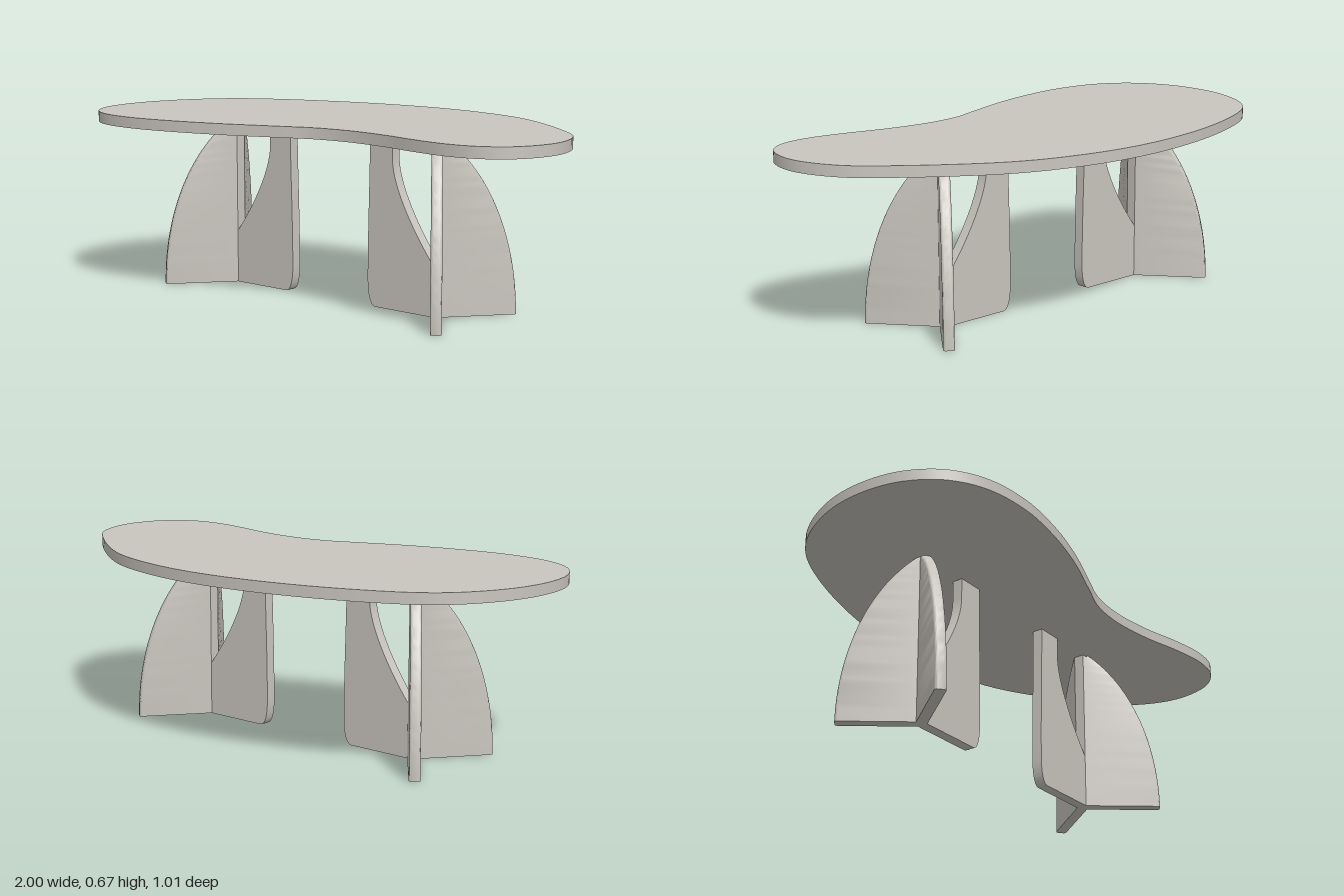
import * as THREE from 'three';
import { toCreasedNormals } from 'three/addons/utils/BufferGeometryUtils.js';

const T = 0.04;            // leg panel thickness
const H = 0.63;            // leg height
const ANGLE = 0.908;       // splay of the arched fins from the leg axis
const SIN = Math.sin(ANGLE), COS = Math.cos(ANGLE);
const CORNER = (T / 2) * (1 - COS) / SIN; // where fin and brace faces meet

const smooth = (g, angle = 0.6) => toCreasedNormals(g.index ? g.toNonIndexed() : g, angle);

// Kidney-shaped slab
function topGeometry() {
  const outline = [
    [0, -0.51], [0.25, -0.485], [0.5, -0.405], [0.8, -0.2], [0.94, -0.06], [1, 0.12],
    [0.96, 0.28], [0.87, 0.355], [0.75, 0.375], [0.6, 0.355], [0.45, 0.32], [0.27, 0.3],
    [0.12, 0.315], [0, 0.358], [-0.2, 0.43], [-0.4, 0.48], [-0.6, 0.502], [-0.78, 0.475],
    [-0.9, 0.4], [-0.975, 0.28], [-1, 0.14], [-0.98, -0.02], [-0.9, -0.19], [-0.8, -0.295],
    [-0.6, -0.395], [-0.3, -0.48],
  ].map(([x, z]) => new THREE.Vector3(x, z, 0));
  const points = new THREE.CatmullRomCurve3(outline, true).getPoints(140).slice(0, -1);
  const shape = new THREE.Shape(points.map((p) => new THREE.Vector2(p.x, p.y)));
  const g = new THREE.ExtrudeGeometry(shape, { depth: 0.04, bevelEnabled: false });
  g.rotateX(Math.PI / 2).translate(0, 0.67, 0);
  return smooth(g);
}

// Arched fin: cross-sections with a rounded outer edge, stepped along the arch
function finGeometry(side) {
  const arch = new THREE.CubicBezierCurve(
    new THREE.Vector2(0.289, 0), new THREE.Vector2(0.289, 0.25),
    new THREE.Vector2(0.2, 0.5), new THREE.Vector2(0.03, H));
  const steps = 32, arcSteps = 4, r = 0.01;
  const pos = [], idx = [];
  let n = 0;
  for (let s = 0; s <= steps; s++) {
    const p = arch.getPoint(s / steps), t = arch.getTangent(s / steps);
    const section = [[-T / 2 / SIN, p.y, 0]];
    for (const e of [-1, 1]) {
      for (let k = 0; k <= arcSteps; k++) {
        const a = (e < 0 ? 1 - k / arcSteps : k / arcSteps) * Math.PI / 2;
        const inset = r * (1 - Math.cos(a));
        const w = e * (T / 2 - r + r * Math.sin(a));
        const u = p.x - t.y * inset, y = p.y + t.x * inset;
        section.push([-COS * u + SIN * w, y, SIN * u + COS * w]);
      }
    }
    section.push([CORNER, p.y, T / 2]);
    n = section.length;
    for (const [x, y, z] of section) pos.push(x, y, z * side);
  }
  const tri = (a, b, c) => (side > 0 ? idx.push(a, b, c) : idx.push(a, c, b));
  for (let s = 0; s < steps; s++) {
    for (let k = 0; k < n; k++) {
      const a = s * n + k, b = s * n + (k + 1) % n;
      tri(a, b, b + n);
      tri(a, b + n, a + n);
    }
  }
  const last = steps * n;
  for (let k = 1; k < n - 1; k++) {
    tri(0, k + 1, k);
    tri(last, last + k, last + k + 1);
  }
  const g = new THREE.BufferGeometry();
  g.setAttribute('position', new THREE.Float32BufferAttribute(pos, 3));
  g.setIndex(idx);
  return smooth(g);
}

// Inner brace with a swooping cut-out on the hinge side
function braceGeometry() {
  const s = new THREE.Shape();
  s.moveTo(CORNER, 0);
  s.lineTo(0.262, 0);
  s.bezierCurveTo(0.285, 0, 0.298, 0.04, 0.298, 0.1);
  s.bezierCurveTo(0.298, 0.3, 0.289, 0.45, 0.288, H);
  s.lineTo(0.185, H);
  s.lineTo(0.185, 0.55);
  s.bezierCurveTo(0.185, 0.45, 0.09, 0.3, CORNER, 0.2);
  s.closePath();
  const g = new THREE.ExtrudeGeometry(s, { depth: T, bevelEnabled: false, curveSegments: 20 });
  return smooth(g.translate(0, 0, -T / 2));
}

// Slim wedge that joins the three panels
function hingeGeometry() {
  const s = new THREE.Shape([
    new THREE.Vector2(-T / 2 / SIN, 0), new THREE.Vector2(CORNER, -T / 2), new THREE.Vector2(CORNER, T / 2),
  ]);
  const g = new THREE.ExtrudeGeometry(s, { depth: H, bevelEnabled: false });
  return g.rotateX(Math.PI / 2).translate(0, H, 0);
}

export function createModel() {
  const stone = new THREE.MeshStandardMaterial({ color: 0xc9c5be });
  stone.name = 'warm grey';
  const model = new THREE.Group();
  model.name = 'coffeeTable';
  const add = (parent, geometry, name) => {
    const mesh = new THREE.Mesh(geometry, stone);
    mesh.name = name;
    parent.add(mesh);
  };

  add(model, topGeometry(), 'tableTop');

  // Two identical legs, turned to face each other
  const parts = {
    frontFin: finGeometry(1), backFin: finGeometry(-1),
    innerBrace: braceGeometry(), hinge: hingeGeometry(),
  };
  for (const [name, x, turn] of [['rightLeg', -0.53, 0], ['leftLeg', 0.435, Math.PI]]) {
    const leg = new THREE.Group();
    leg.name = name;
    for (const [part, geometry] of Object.entries(parts)) add(leg, geometry, part);
    leg.position.set(x, 0, 0.02);
    leg.rotation.y = turn;
    model.add(leg);
  }
  return model;
}
